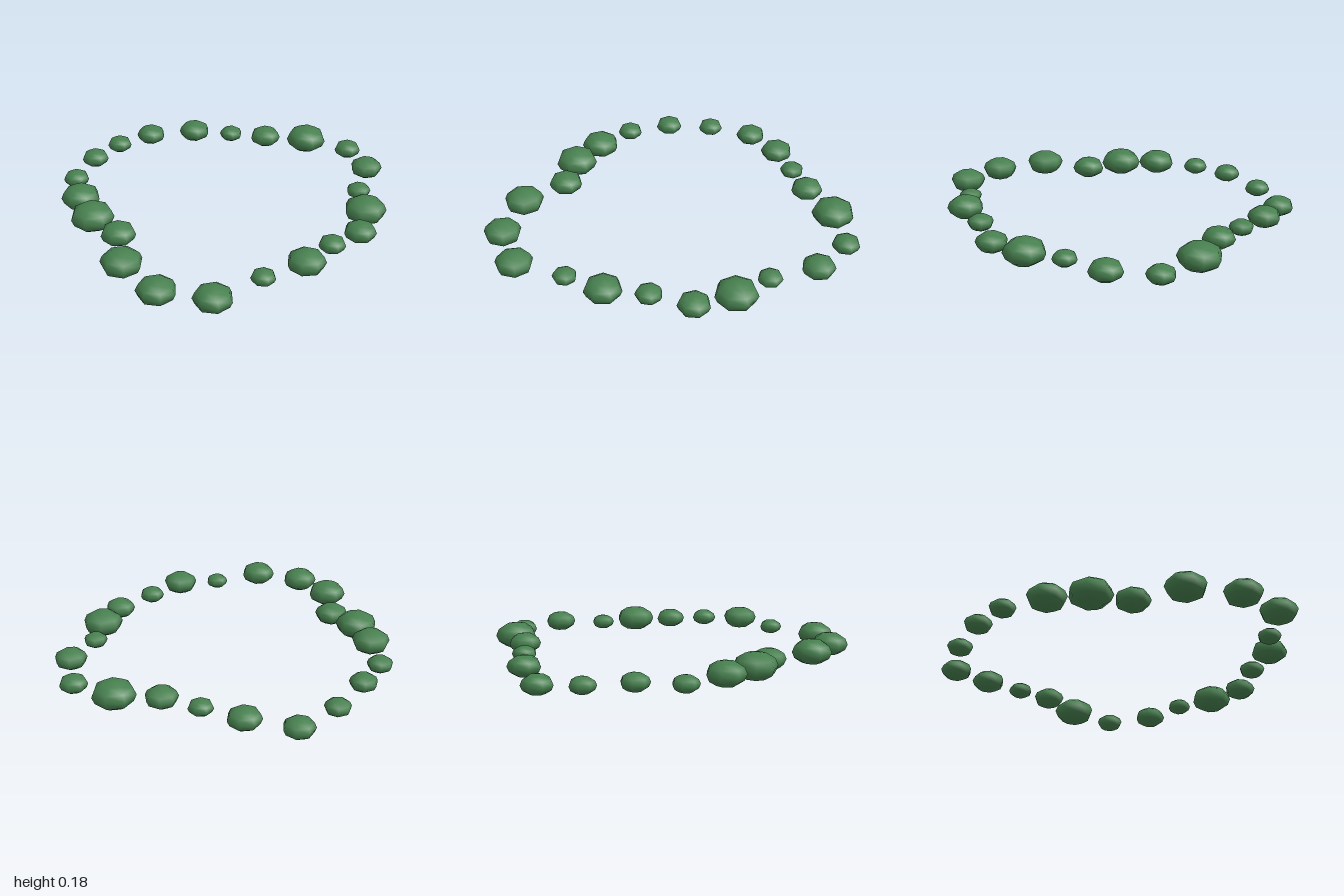
import * as THREE from 'three';

// Each bush: x, height of centre, z, radius, direction of one corner in degrees
const BUSHES = [
  [0.01, 0.08, -0.86, 0.07, -100],
  [0.265, 0.056, -0.855, 0.084, 15],
  [0.45, 0.085, -0.655, 0.09, -85],
  [0.565, 0.095, -0.45, 0.066, -80],
  [0.67, 0.105, -0.26, 0.087, -100],
  [0.835, 0.097, -0.07, 0.115, -35],
  [0.925, 0.08, 0.18, 0.075, -90],
  [0.80, 0.09, 0.415, 0.088, -105],
  [0.565, 0.08, 0.54, 0.065, 0],
  [0.415, 0.085, 0.70, 0.112, 0],
  [0.22, 0.08, 0.815, 0.085, -95],
  [-0.01, 0.105, 0.81, 0.07, -90],
  [-0.24, 0.117, 0.83, 0.098, 0],
  [-0.465, 0.095, 0.745, 0.063, -90],
  [-0.755, 0.09, 0.685, 0.099, -85],
  [-0.90, 0.09, 0.445, 0.10, -85],
  [-0.87, 0.105, 0.16, 0.107, -80],
  [-0.695, 0.097, -0.065, 0.092, 0],
  [-0.69, 0.11, -0.28, 0.115, -5],
  [-0.60, 0.11, -0.485, 0.104, -95],
  [-0.465, 0.095, -0.69, 0.07, -100],
  [-0.24, 0.105, -0.79, 0.075, 0],
];

export function createModel() {
  const group = new THREE.Group();
  group.name = 'bushRing';
  const leafGreen = new THREE.MeshStandardMaterial({ color: 0x47804f });
  leafGreen.name = 'leafGreen';

  // Seven-sided smooth ball, squashed for every bush
  const ball = new THREE.SphereGeometry(1, 7, 6);

  BUSHES.forEach(([x, y, z, r, corner], i) => {
    const bush = new THREE.Mesh(ball, leafGreen);
    bush.name = `bush${i + 1}`;
    bush.position.set(x, y, z);
    bush.scale.set(r * 1.03, r * 0.65, r * 1.03);
    bush.rotation.y = Math.PI - THREE.MathUtils.degToRad(corner);
    group.add(bush);
  });
  return group;
}
